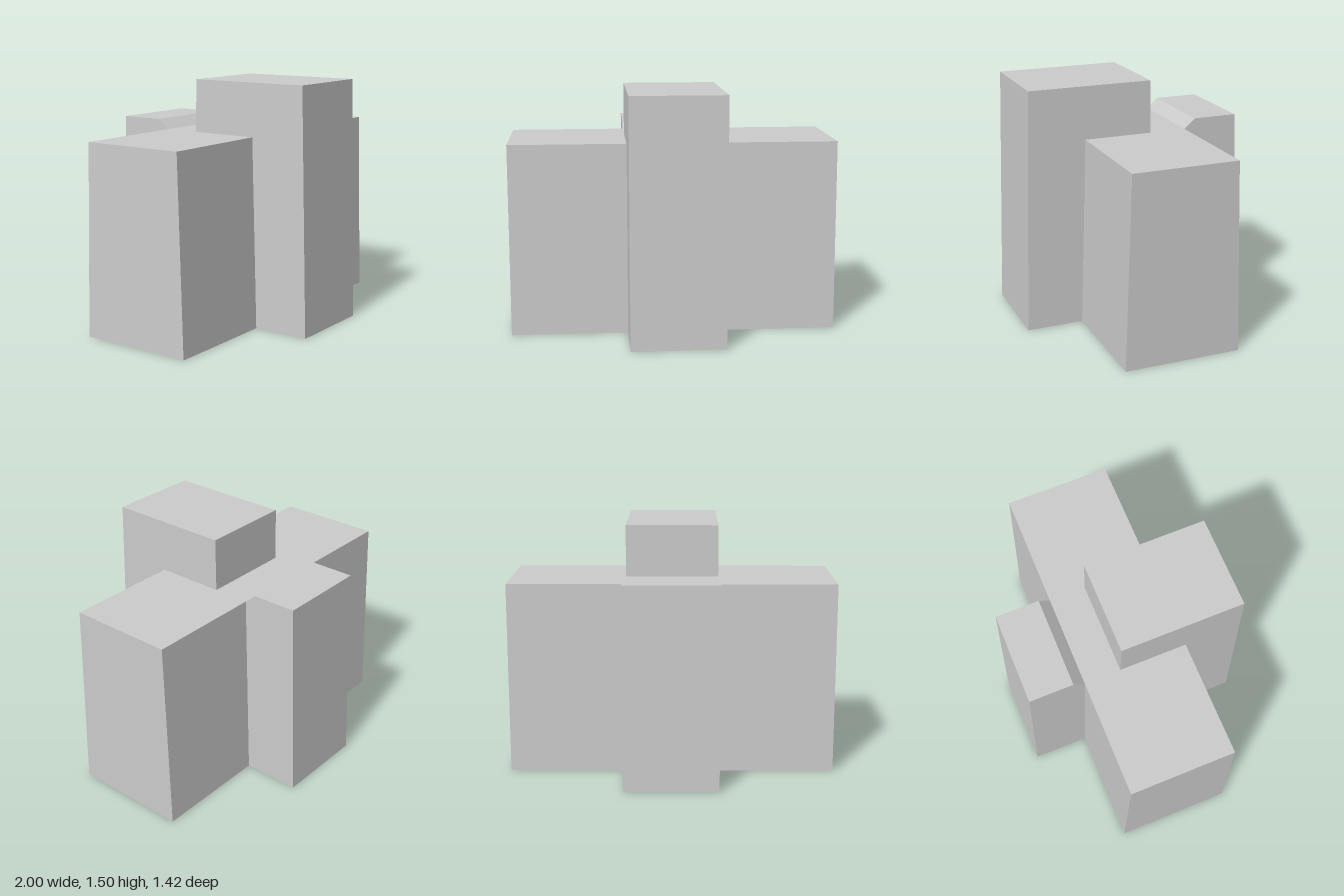
import * as THREE from 'three';

const grey = new THREE.MeshStandardMaterial({ color: 0xcccccc, side: THREE.DoubleSide });
grey.name = 'plain grey';

// Hollow block: a side profile of [z, y] points swept across x.
// Triangles whose corners all pass isOpen are left out.
function hollowBlock(name, halfWidth, profile, isOpen) {
  const shape = new THREE.Shape(profile.map(([z, y]) => new THREE.Vector2(z, y)));
  const solid = new THREE.ExtrudeGeometry(shape, { depth: halfWidth * 2, bevelEnabled: false });
  solid.rotateY(-Math.PI / 2).translate(halfWidth, 0, 0);
  const flat = solid.index ? solid.toNonIndexed() : solid;
  const p = flat.attributes.position;
  const kept = [];
  for (let i = 0; i < p.count; i += 3) {
    const corners = [0, 1, 2].map((k) => new THREE.Vector3().fromBufferAttribute(p, i + k));
    const bottom = corners.every((c) => c.y < 0.001);
    const open = isOpen && corners.every(isOpen);
    if (!bottom && !open) corners.forEach((c) => kept.push(c.x, c.y, c.z));
  }
  const geometry = new THREE.BufferGeometry();
  geometry.setAttribute('position', new THREE.Float32BufferAttribute(kept, 3));
  geometry.computeVertexNormals();
  const mesh = new THREE.Mesh(geometry, grey);
  mesh.name = name;
  return mesh;
}

export function createModel() {
  const group = new THREE.Group();
  group.name = 'steppedBlocks';

  // Wide block running from side to side
  group.add(hollowBlock('wideBlock', 1,
    [[-0.358, 0], [0.358, 0], [0.324, 1.174], [-0.324, 1.174]]));

  // Tall block at the front, reaching into the wide one
  group.add(hollowBlock('frontTower', 0.286,
    [[-0.117, 0], [0.71, 0], [0.67, 1.498], [-0.092, 1.498]]));

  // Lower block at the back with a sloped front edge, open against the wide block
  group.add(hollowBlock('backBlock', 0.286,
    [[-0.71, 0], [-0.358, 0], [-0.324, 1.174], [-0.393, 1.234], [-0.668, 1.234]],
    (c) => c.z > -0.36));

  return group;
}
